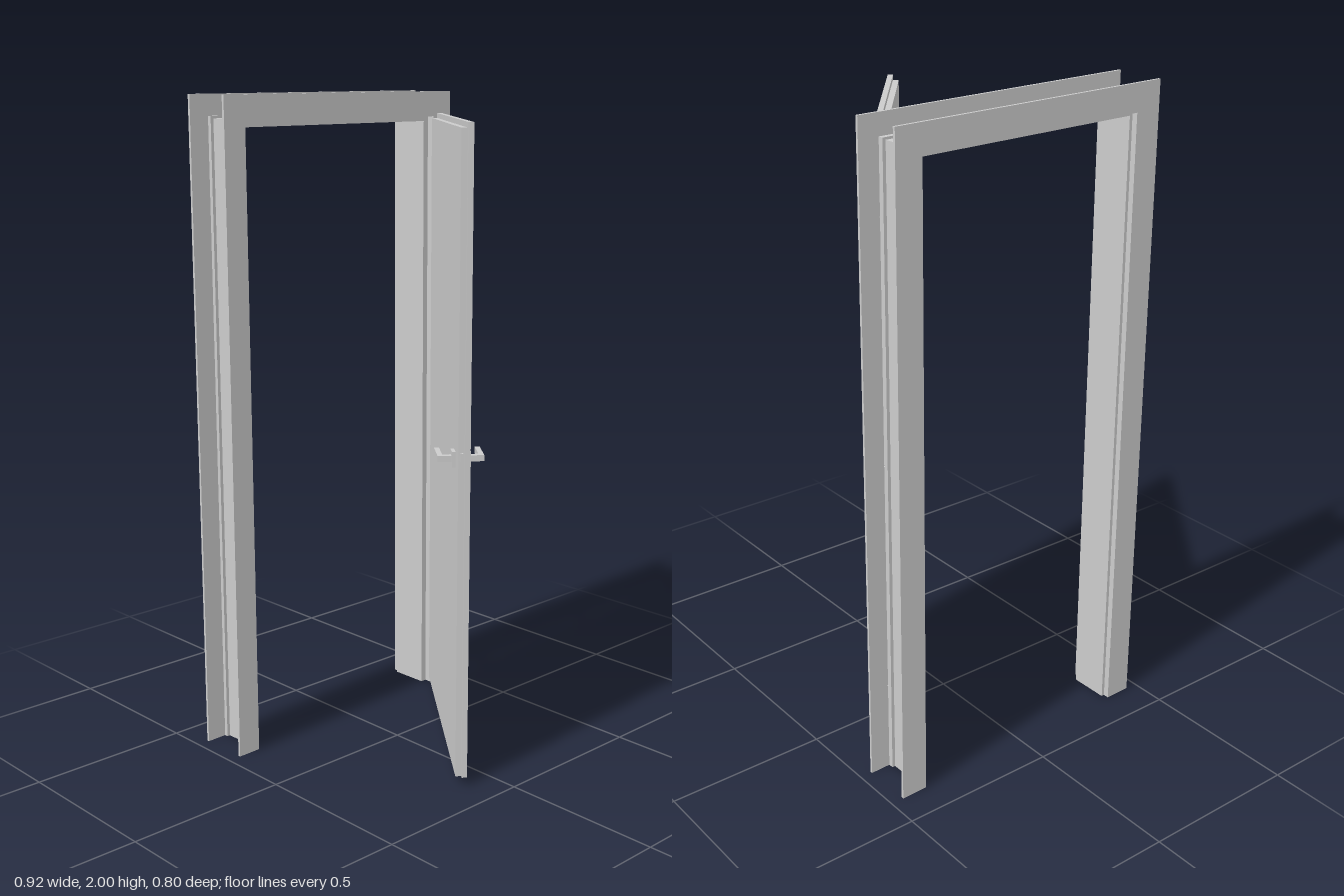
import * as THREE from 'three';

const material = new THREE.MeshStandardMaterial({ color: 0xcccccc, flatShading: true });

function add(parent, name, geometry, x = 0, y = 0, z = 0) {
  const mesh = new THREE.Mesh(geometry, material);
  mesh.name = name;
  mesh.position.set(x, y, z);
  parent.add(mesh);
  return mesh;
}

// box given by its extents on each axis
function addBox(parent, name, [x0, x1], [y0, y1], [z0, z1]) {
  return add(parent, name, new THREE.BoxGeometry(x1 - x0, y1 - y0, z1 - z0),
    (x0 + x1) / 2, (y0 + y1) / 2, (z0 + z1) / 2);
}

// doorway-shaped surround: two legs and a head, open at the floor
function addSurround(parent, name, outerX, outerY, innerX, innerY, z0, z1) {
  const shape = new THREE.Shape([
    [-outerX, 0], [-innerX, 0], [-innerX, innerY], [innerX, innerY],
    [innerX, 0], [outerX, 0], [outerX, outerY], [-outerX, outerY],
  ].map(([x, y]) => new THREE.Vector2(x, y)));
  const geometry = new THREE.ExtrudeGeometry(shape, { depth: z1 - z0, bevelEnabled: false });
  return add(parent, name, geometry, 0, 0, z0);
}

function createFrame() {
  const frame = new THREE.Group();
  frame.name = 'doorFrame';
  addSurround(frame, 'frontCasing', 0.46, 2, 0.384, 1.922, 0.074, 0.082);
  addSurround(frame, 'frontCasingLip', 0.395, 1.937, 0.384, 1.922, 0.058, 0.074);
  addSurround(frame, 'jambLining', 0.385, 1.93, 0.365, 1.907, -0.064, 0.058);
  addSurround(frame, 'backCasingLip', 0.395, 1.937, 0.375, 1.917, -0.074, -0.062);
  addSurround(frame, 'backCasing', 0.46, 2, 0.375, 1.917, -0.082, -0.074);
  frame.position.z = -0.3125;
  frame.rotation.y = 0.0155;
  return frame;
}

// square rose, neck and lever on the +z side of z = 0
function createHandle() {
  const handle = new THREE.Group();
  handle.name = 'handle';
  addBox(handle, 'rose', [-0.022, 0.022], [-0.023, 0.023], [0, 0.011]);
  addBox(handle, 'neck', [-0.01, 0.008], [-0.009, 0.009], [0.011, 0.036]);
  addBox(handle, 'lever', [-0.01, 0.092], [-0.009, 0.009], [0.036, 0.051]);
  return handle;
}

function createDoor() {
  const door = new THREE.Group();
  door.name = 'door';
  const thickness = 0.0335;

  // rebated leaf: wide front layer, narrower back layer
  addBox(door, 'frontLeaf', [-0.788, 0], [0.025, 1.932], [-0.016, 0]);
  addBox(door, 'backLeaf', [-0.777, -0.011], [0.025, 1.917], [-thickness, -0.016]);

  // mirrored handles on both faces
  const front = createHandle();
  front.position.set(-0.693, 0.98, 0);
  const back = createHandle();
  back.position.set(-0.693, 0.98, -thickness);
  back.rotation.x = Math.PI;
  door.add(front, back);

  // lock plate and latch on the closing edge
  addBox(door, 'lockPlate', [-0.778, -0.776], [0.915, 1.065], [-0.031, -0.018]);
  addBox(door, 'latch', [-0.785, -0.777], [0.99, 1.015], [-0.029, -0.02]);

  door.position.set(0.403, 0, -0.215);
  door.rotation.y = THREE.MathUtils.degToRad(50.9);
  return door;
}

function createHinge(y) {
  const hinge = new THREE.Group();
  hinge.name = 'hinge';
  for (const side of [-1, 1]) {
    add(hinge, 'knuckle', new THREE.CylinderGeometry(0.006, 0.006, 0.027, 16), 0, side * 0.0145, 0);
    // fixing pin: upper one into the door, lower one into the frame
    const pin = add(hinge, 'fixingPin', new THREE.CylinderGeometry(0.003, 0.003, 0.024, 10),
      -0.006, side * 0.0145, side * 0.008);
    pin.rotation.set(Math.PI / 2, 0, side * 0.5);
  }
  hinge.position.set(0.405, y, -0.228);
  return hinge;
}

export function createModel() {
  const model = new THREE.Group();
  model.name = 'openDoor';
  model.add(createFrame(), createDoor());
  for (const y of [0.3, 1.02, 1.74]) model.add(createHinge(y));
  return model;
}
